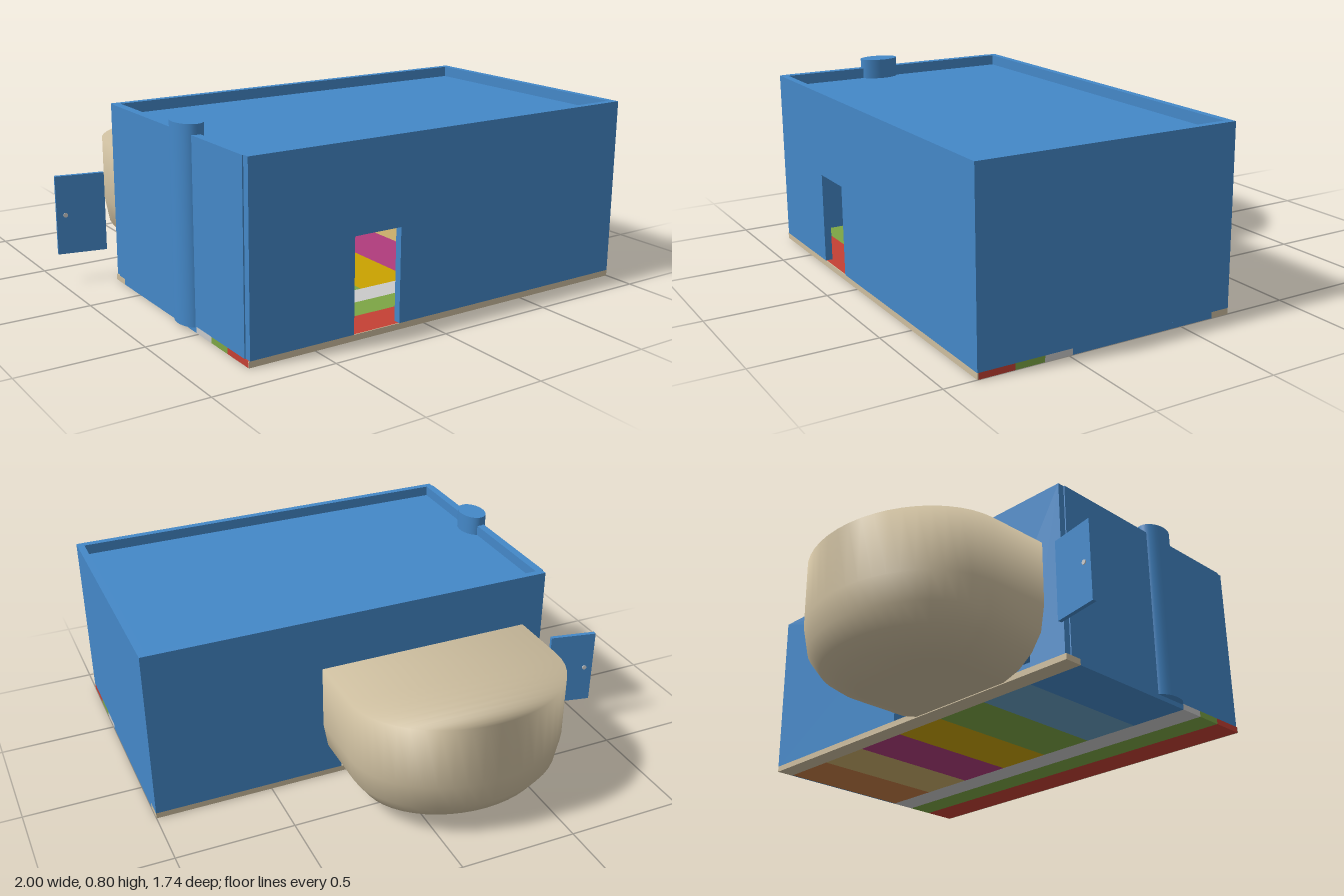
import * as THREE from 'three';

const mat = (name, color, side = THREE.FrontSide) => {
  const m = new THREE.MeshStandardMaterial({ color, side });
  m.name = name;
  return m;
};

export function createModel() {
  const group = new THREE.Group();
  const blue = mat('blue', 0x4488c8);
  const beige = mat('beige', 0xcdbe9f, THREE.DoubleSide);
  const red = mat('red', 0xc44034);
  const green = mat('green', 0x7ca545);
  const white = mat('pale grey', 0xcacaca);
  const orange = mat('orange brown', 0xc47c44);
  const sand = mat('sand', 0xcaae6a);
  const magenta = mat('magenta', 0xb03c7c);
  const yellow = mat('yellow', 0xcaa200);
  const lightBlue = mat('light blue', 0x669cc0);

  const add = (name, geometry, material) => {
    const mesh = new THREE.Mesh(geometry, material);
    mesh.name = name;
    group.add(mesh);
    return mesh;
  };
  // box given by its two opposite corners
  const block = (name, material, x0, x1, y0, y1, z0, z1) => {
    const mesh = add(name, new THREE.BoxGeometry(x1 - x0, y1 - y0, z1 - z0), material);
    mesh.position.set((x0 + x1) / 2, (y0 + y1) / 2, (z0 + z1) / 2);
    return mesh;
  };

  const L = -0.775, R = 1, B = -0.23, F = 0.87, T = 0.03, base = 0.025, top = 0.76;

  // front and back walls, each with an opening that reaches the floor
  const wall = (name, x0, x1, h, z) => {
    const shape = new THREE.Shape([
      [L, base], [x0, base], [x0, h], [x1, h], [x1, base], [R, base], [R, top], [L, top],
    ].map(([x, y]) => new THREE.Vector2(x, y)));
    const geometry = new THREE.ExtrudeGeometry(shape, { depth: T, bevelEnabled: false });
    add(name, geometry, blue).position.z = z;
  };
  wall('frontWall', -0.33, -0.12, 0.405, F - T);
  wall('backWall', -0.6, 0.18, 0.48, B);

  // side walls and sunken roof
  block('rightSideWall', blue, R - T, R, base, top, B + T, F - T);
  block('rightSill', blue, R - 0.006, R, 0, base, -0.15, 0.485);
  block('leftSideWall', blue, L - 0.005, L + T, base, top, B + T, F - T);
  block('roof', blue, L + T, R - T, 0.69, 0.715, B + T, F - T);

  // floor: long stripes at the front, a beige one at the back
  const stripes = [[red, 0.72, 0.866], [green, 0.6, 0.72], [white, 0.485, 0.6], [beige, B, -0.15]];
  for (const [m, z0, z1] of stripes) block('floorStripe', m, L - 0.005, R, 0, base, z0, z1);
  block('frontSill', beige, L - 0.005, R, 0, base, 0.866, F);

  // floor: row of coloured panels from the left side inwards
  const panels = [orange, sand, magenta, yellow, green, lightBlue, blue];
  const end = R - 0.006, width = (end - L + 0.005) / panels.length;
  panels.forEach((m, i) =>
    block('floorPanel', m, end - (i + 1) * width, end - i * width, 0, base, -0.15, 0.485));

  // oval pipe on the side wall
  const pipe = add('pipe', new THREE.CylinderGeometry(1, 1, 0.78, 32), blue);
  pipe.scale.set(0.057, 1, 0.085);
  pipe.position.set(-0.758, 0.41, 0.4);

  // rounded bay: U-shaped rings that shrink towards the bottom
  const levels = [[0.004, 0.22], [0.03, 0.14], [0.08, 0.07], [0.15, 0.02], [0.26, 0], [0.53, 0]];
  const arc = 24, count = arc + 3, last = count - 1;
  const points = [], index = [];
  for (const [y, inset] of levels) {
    const rx = 0.47 - inset, rz = 0.37 - inset;
    points.push(-0.21 + rx, y, B);
    for (let i = 0; i <= arc; i++) {
      const a = Math.PI * i / arc;
      points.push(-0.21 + rx * Math.cos(a), y, -0.5 - rz * Math.sin(a));
    }
    points.push(-0.21 - rx, y, B);
  }
  for (let k = 0; k < levels.length - 1; k++) {
    for (let i = 0; i < last; i++) {
      const a = k * count + i, c = a + count;
      index.push(a, a + 1, c, a + 1, c + 1, c);
    }
  }
  const up = (levels.length - 1) * count;
  for (let i = 0; i < last / 2 - 0.5; i++) {
    const j = last - i;
    index.push(up + i, up + i + 1, up + j - 1, up + i, up + j - 1, up + j);
    index.push(i, j - 1, i + 1, i, j, j - 1);
  }
  const bay = new THREE.BufferGeometry();
  bay.setAttribute('position', new THREE.Float32BufferAttribute(points, 3));
  bay.setIndex(index);
  bay.computeVertexNormals();
  add('roundedBay', bay, beige);

  // open hatch panel with its knob
  const hatch = new THREE.Group();
  hatch.name = 'hatch';
  hatch.position.set(-0.9, 0.295, -0.302);
  hatch.rotation.y = -0.2;
  const panel = block('hatchPanel', blue, -0.102, 0.102, -0.168, 0.168, -0.009, 0.009);
  const knob = add('hatchKnob', new THREE.CylinderGeometry(0.01, 0.01, 0.026, 12), white);
  knob.rotation.x = Math.PI / 2;
  knob.position.set(-0.065, 0, 0);
  hatch.add(panel, knob);
  group.add(hatch);

  return group;
}
